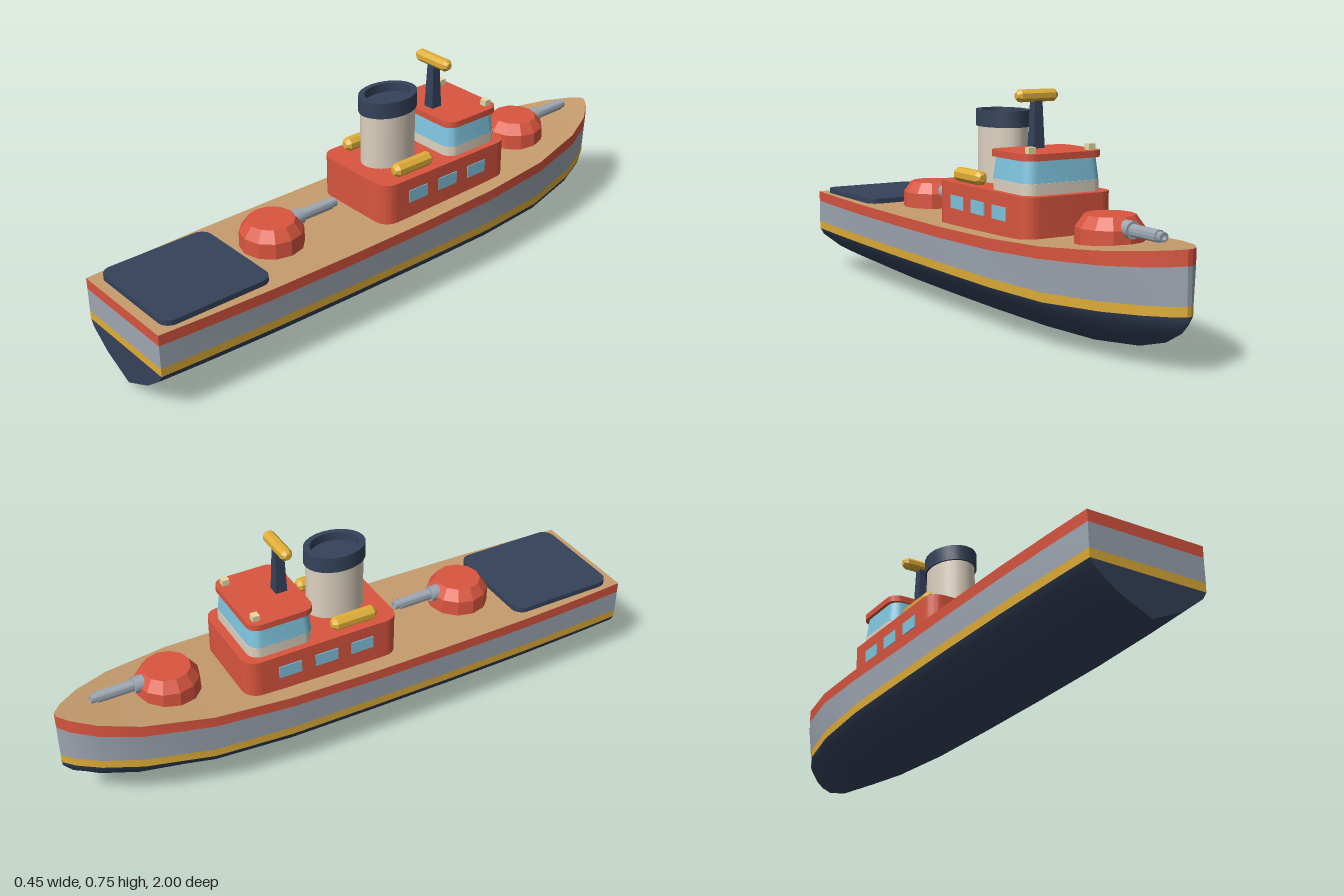
import * as THREE from 'three';
import { toCreasedNormals } from 'three/addons/utils/BufferGeometryUtils.js';

const mat = (color, flatShading = false) => {
  const m = new THREE.MeshStandardMaterial({ color });
  m.flatShading = flatShading;
  return m;
};
const RED = 0xd9553f, GREY = 0x9ea7b2, YELLOW = 0xe0ae38, NAVY = 0x35425a;
const TAN = 0xc69c6d, CREAM = 0xddd2c0, BLUE = 0x7fc4de, LAMP = 0xe6dba6;

// hull stations, bow to stern: z, deck half width, deck height, keel height, waterline/deck width
const STATIONS = [
  [-1, 0.008, 0.36, 0.155, 0.9], [-0.97, 0.045, 0.356, 0.12, 0.86], [-0.9, 0.098, 0.348, 0.08, 0.87],
  [-0.78, 0.153, 0.336, 0.045, 0.9], [-0.56, 0.203, 0.319, 0.016, 0.94], [-0.3, 0.22, 0.307, 0.004, 0.97],
  [0, 0.223, 0.3, 0, 0.97], [0.3, 0.223, 0.298, 0, 0.97], [0.6, 0.219, 0.297, 0.002, 0.97],
  [0.85, 0.209, 0.297, 0.012, 0.98], [1, 0.2, 0.297, 0.022, 0.99],
];

// point of station s at level 0 (keel) to 6 (deck)
function hullPoint([z, w, deck, keel, full], level) {
  const lift = Math.max(0, -z - 0.6) * 0.05;
  const water = 0.152 + lift;
  const ww = w * full;
  return [
    [0, keel], [ww * 0.57, keel + (water - keel) * 0.4], [ww * 0.93, keel + (water - keel) * 0.82],
    [ww, water], [w * (full + 0.006), water + 0.029],
    [w * 0.995, deck - 0.037 - lift * 0.5], [w, deck],
  ][level].concat(z);
}

// closed ring around the hull at one level: right side aft, then left side forward
function ring(level) {
  const side = STATIONS.map((s) => hullPoint(s, level));
  return [...side, ...side.map(([x, y, z]) => [-x, y, z]).reverse()];
}

function quads(list) {
  const pos = [];
  for (const [a, b, c, d] of list) pos.push(...a, ...b, ...c, ...a, ...c, ...d);
  const g = new THREE.BufferGeometry();
  g.setAttribute('position', new THREE.Float32BufferAttribute(pos, 3));
  return toCreasedNormals(g, 0.5);
}

function hullBand(from, to) {
  const list = [];
  for (let j = from; j < to; j++) {
    const lo = ring(j), hi = ring(j + 1);
    lo.forEach((p, k) => {
      const n = (k + 1) % lo.length;
      list.push([p, hi[k], hi[n], lo[n]]);
    });
  }
  return quads(list);
}

function deckGeometry() {
  const r = ring(6), n = r.length, list = [];
  for (let i = 0; i < STATIONS.length - 1; i++) list.push([r[n - 1 - i], r[n - 2 - i], r[i + 1], r[i]]);
  return quads(list);
}

// upright block with rounded corners in plan; its top may be narrower
function roundedBlock(w, d, h, r, taper = 1) {
  const s = new THREE.Shape(), x = w / 2, y = d / 2;
  s.moveTo(x, -y + r);
  s.lineTo(x, y - r);
  s.absarc(x - r, y - r, r, 0, Math.PI / 2);
  s.absarc(-x + r, y - r, r, Math.PI / 2, Math.PI);
  s.absarc(-x + r, -y + r, r, Math.PI, Math.PI * 1.5);
  s.absarc(x - r, -y + r, r, Math.PI * 1.5, Math.PI * 2);
  const g = new THREE.ExtrudeGeometry(s, { depth: h, bevelEnabled: false, curveSegments: 6 });
  g.rotateX(-Math.PI / 2);
  const p = g.attributes.position;
  for (let i = 0; i < p.count; i++) {
    const k = 1 + (taper - 1) * p.getY(i) / h;
    p.setXYZ(i, p.getX(i) * k, p.getY(i), p.getZ(i) * k);
  }
  return toCreasedNormals(g, 0.6);
}

const lathe = (pts, seg) =>
  new THREE.LatheGeometry(pts.map(([x, y]) => new THREE.Vector2(x, y)), seg);

// eight-sided canister with chamfered ends, lying along y
const canister = (r, len) => lathe([
  [0, -len / 2], [r * 0.5, -len / 2], [r, -len / 2 + 0.013],
  [r, len / 2 - 0.013], [r * 0.5, len / 2], [0, len / 2],
], 8).rotateY(Math.PI / 8);

function add(parent, name, geometry, color, x = 0, y = 0, z = 0, flat = false) {
  const m = new THREE.Mesh(geometry, mat(color, flat));
  m.name = name;
  m.position.set(x, y, z);
  parent.add(m);
  return m;
}

function makeTurret(name, y, z) {
  const t = new THREE.Group();
  t.name = name;
  t.position.set(0, y, z);
  add(t, 'turretHousing', lathe([[0.105, 0], [0.103, 0.052], [0.077, 0.088], [0, 0.088]], 12), RED, 0, 0, 0, true);
  // gun barrel pointing to the bow: collar, tube, muzzle
  const barrel = lathe([
    [0, 0.06], [0.027, 0.06], [0.027, 0.115], [0.019, 0.115], [0.019, 0.235],
    [0.015, 0.235], [0.015, 0.255], [0.008, 0.255], [0.008, 0.24], [0, 0.24],
  ], 12).rotateX(-Math.PI / 2);
  add(t, 'gunBarrel', toCreasedNormals(barrel, 0.7), GREY, 0, 0.055, 0);
  return t;
}

export function createModel() {
  const ship = new THREE.Group();
  ship.name = 'patrolShip';

  // hull in painted bands, with deck
  const hull = new THREE.Group();
  hull.name = 'hull';
  ship.add(hull);
  add(hull, 'lowerHull', hullBand(0, 3), NAVY);
  add(hull, 'waterlineStripe', hullBand(3, 4), YELLOW);
  add(hull, 'hullSides', hullBand(4, 5), GREY);
  add(hull, 'gunwaleBand', hullBand(5, 6), RED);
  add(hull, 'deck', deckGeometry(), TAN);

  // landing pad on the stern
  add(ship, 'landingPad', roundedBlock(0.37, 0.385, 0.02, 0.04), NAVY, 0, 0.295, 0.773);

  // turrets
  ship.add(makeTurret('sternTurret', 0.298, 0.45), makeTurret('bowTurret', 0.32, -0.63));

  // cabin with side windows
  add(ship, 'cabin', roundedBlock(0.33, 0.55, 0.15, 0.05), RED, 0, 0.29, -0.155);
  for (const side of [1, -1])
    for (const z of [-0.02, -0.15, -0.28])
      add(ship, 'cabinWindow', new THREE.BoxGeometry(0.01, 0.043, 0.08), BLUE, side * 0.163, 0.377, z);

  // bridge: base, glazing, roof, lamps
  add(ship, 'bridgeBase', roundedBlock(0.284, 0.222, 0.036, 0.04), CREAM, 0, 0.44, -0.29);
  add(ship, 'bridgeGlazing', roundedBlock(0.284, 0.222, 0.072, 0.04, 0.94), BLUE, 0, 0.475, -0.288);
  add(ship, 'bridgeRoof', roundedBlock(0.29, 0.226, 0.021, 0.04), RED, 0, 0.545, -0.288);
  for (const side of [1, -1])
    add(ship, 'roofLamp', new THREE.BoxGeometry(0.024, 0.02, 0.024), LAMP, side * 0.11, 0.576, -0.37);

  // mast and radar bar
  const mast = new THREE.CylinderGeometry(0.02, 0.028, 0.15, 4).rotateY(Math.PI / 4);
  add(ship, 'mast', mast, NAVY, 0, 0.64, -0.232, true);
  add(ship, 'radarBar', canister(0.021, 0.15).rotateZ(Math.PI / 2), YELLOW, 0, 0.731, -0.232, true);

  // oval funnel with hollow cap
  const funnel = lathe([[0.075, 0.43], [0.075, 0.625]], 24).scale(1, 1, 1.32);
  add(ship, 'funnel', funnel, CREAM, 0, 0, -0.032);
  const cap = lathe([
    [0.074, 0.621], [0.081, 0.621], [0.081, 0.675], [0.064, 0.675], [0.064, 0.645], [0, 0.645],
  ], 24).scale(1, 1, 1.3);
  add(ship, 'funnelCap', toCreasedNormals(cap, 0.7), NAVY, 0, 0, -0.032);

  // life raft canisters beside the funnel
  for (const side of [1, -1])
    add(ship, 'lifeRaft', canister(0.024, 0.16).rotateX(Math.PI / 2), YELLOW, side * 0.123, 0.462, -0.03, true);

  return ship;
}
